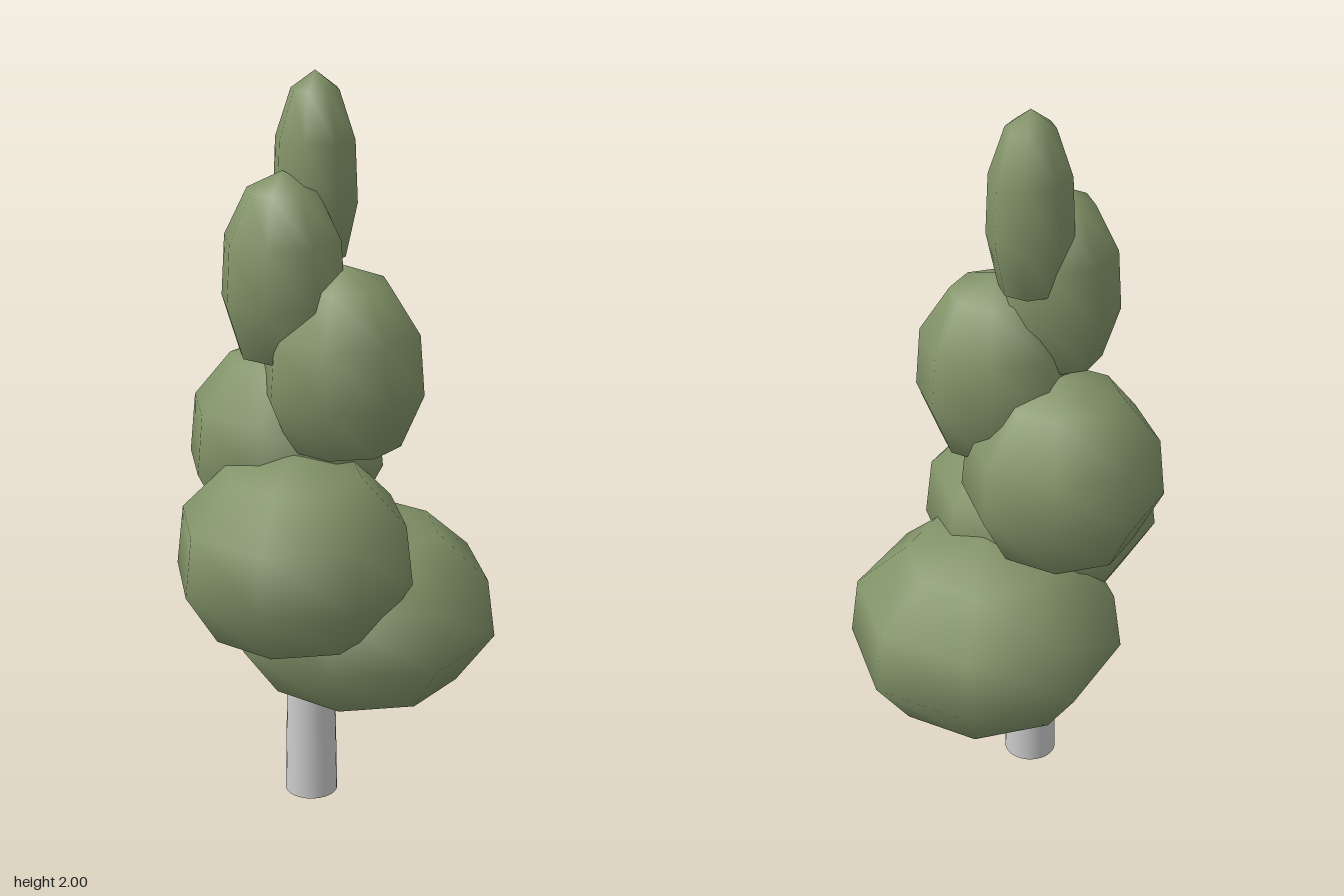
import * as THREE from 'three';

export function createModel() {
  const tree = new THREE.Group();
  tree.name = 'tree';

  // Trunk: slightly tapered open tube reaching into the lowest foliage
  const trunk = new THREE.Mesh(
    new THREE.CylinderGeometry(0.06, 0.072, 0.64, 24, 1, true),
    new THREE.MeshStandardMaterial({ color: 0xcccccc, side: THREE.DoubleSide })
  );
  trunk.name = 'trunk';
  trunk.position.set(-0.058, 0.32, -0.012);
  tree.add(trunk);

  // Foliage: six eight-sided domes, open below, narrowing towards the top
  const leaf = new THREE.MeshStandardMaterial({ color: 0x839469, side: THREE.DoubleSide });
  const dome = new THREE.SphereGeometry(1, 8, 4, 0, Math.PI * 2, 0, Math.PI * 0.75);
  const centres = [
    [0.105, -0.013],
    [-0.162, 0.075],
    [-0.062, -0.135],
    [-0.006, 0.067],
    [-0.129, -0.028],
    [-0.019, -0.049],
  ];
  centres.forEach(([x, z], i) => {
    const radius = 0.38 - 0.0532 * i;
    const foliage = new THREE.Mesh(dome, leaf);
    foliage.name = `foliage${i + 1}`;
    foliage.position.set(x, 0.52 + 0.24 * i, z);
    foliage.scale.set(radius, 0.28, radius);
    tree.add(foliage);
  });

  return tree;
}
